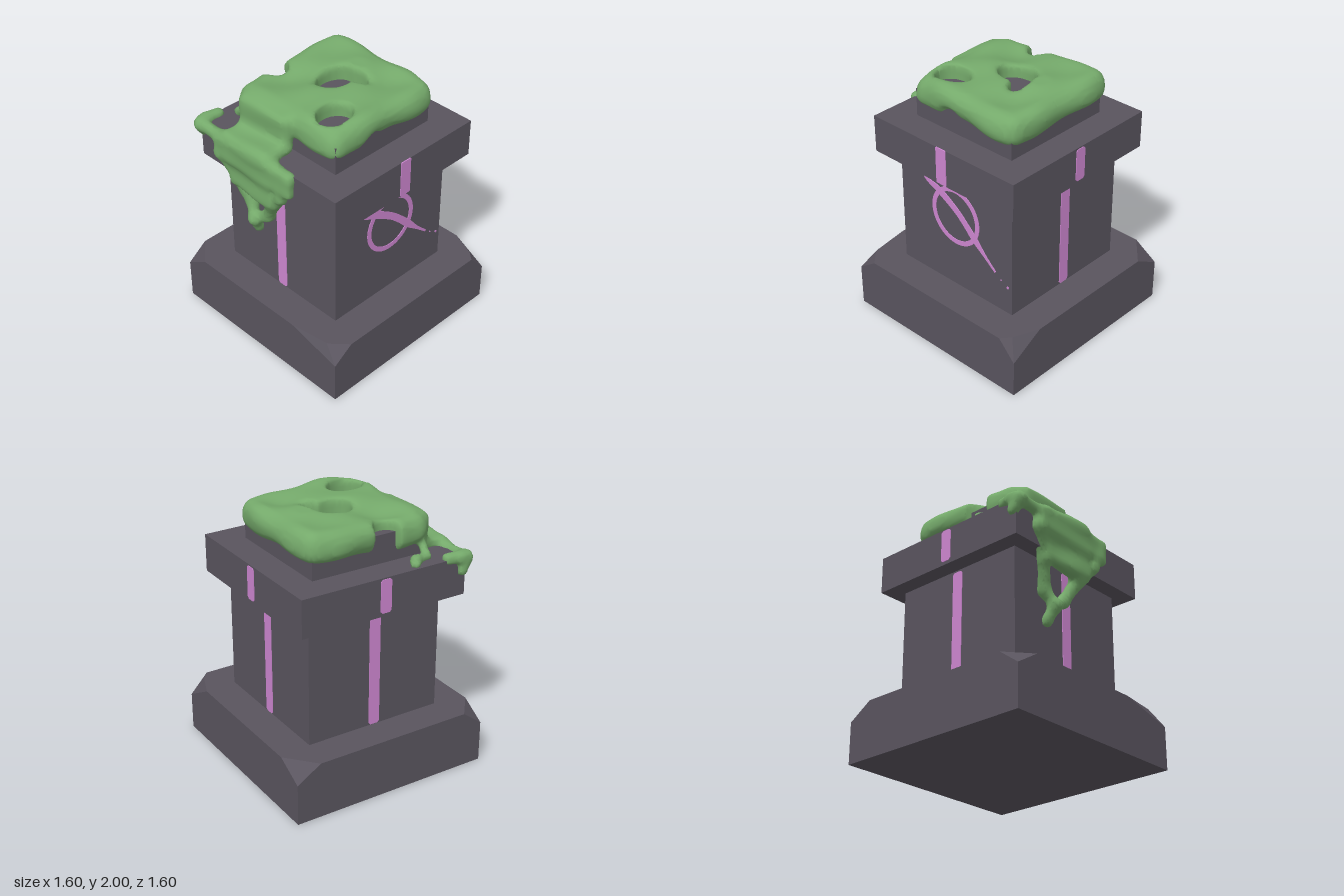
import * as THREE from 'three';
import { ConvexGeometry } from 'three/addons/geometries/ConvexGeometry.js';

const material = (name, color) => {
  const m = new THREE.MeshStandardMaterial({ color });
  m.name = name;
  return m;
};

// ---- distance helpers for the moss ----
const smin = (a, b, k) => {
  const h = Math.max(k - Math.abs(a - b), 0) / k;
  return Math.min(a, b) - h * h * k * 0.25;
};
const roundBox = (p, c, s, r) => {
  const q = p.map((v, i) => Math.abs(v - c[i]) - s[i] + r);
  return Math.hypot(...q.map(v => Math.max(v, 0))) + Math.min(Math.max(...q), 0) - r;
};
const capsule = (p, a, b, r) => {
  const d = b.map((v, i) => v - a[i]), e = p.map((v, i) => v - a[i]);
  const dot = (u, v) => u[0] * v[0] + u[1] * v[1] + u[2] * v[2];
  const t = Math.min(1, Math.max(0, dot(d, e) / dot(d, d)));
  return Math.hypot(...e.map((v, i) => v - d[i] * t)) - r;
};
// distance to an upright elliptical hole
const well = (x, z, cx, cz, rx, rz) => (Math.hypot((x - cx) / rx, (z - cz) / rz) - 1) * Math.min(rx, rz);

// strands of moss: radius, then the points of the path
const strands = [
  [0.045, [-0.69, 1.62, 0.25], [-0.68, 1.42, 0.16], [-0.64, 1.26, 0.02], [-0.59, 1.08, -0.08], [-0.62, 1.0, -0.2]],
  [0.045, [-0.69, 1.5, -0.45], [-0.64, 1.3, -0.35], [-0.585, 1.1, -0.27], [-0.625, 1.0, -0.21], [-0.565, 0.89, -0.23]],
  [0.045, [-0.69, 1.63, -0.4], [-0.69, 1.64, -0.66], [-0.64, 1.65, -0.67], [-0.54, 1.655, -0.65]],
  [0.045, [-0.7, 1.64, -0.66], [-0.65, 1.56, -0.68]],
  [0.032, [-0.46, 1.74, -0.44], [-0.43, 1.67, -0.55], [-0.32, 1.67, -0.58], [-0.28, 1.67, -0.63]],
];
// flat patches: centre, half size, rounding
const patches = [
  [[-0.5, 1.8, -0.18], [0.05, 0.13, 0.24], 0.045],
  [[-0.6, 1.675, -0.18], [0.13, 0.045, 0.24], 0.04],
  [[-0.69, 1.57, -0.1], [0.05, 0.11, 0.39], 0.045],
  [[-0.67, 1.4, -0.14], [0.045, 0.13, 0.24], 0.04],
];

function mossField(x, y, z) {
  const p = [x, y, z];
  const lift = 0.02 * Math.sin(5 * x + 2.2) * Math.sin(4.5 * z + 0.6) + 0.022 * x
    + 0.012 * Math.cos(11 * z) * Math.cos(4 * x);
  const wave = 0.012 * Math.sin(13 * x + 1) * Math.sin(12 * z + 2) + 0.01 * Math.sin(17 * y + 7 * x - 6 * z);
  let d = roundBox([x, y - lift, z], [0.01, 1.863, -0.01], [0.51, 0.115, 0.51], 0.105) + wave;
  for (const [c, s, r] of patches) d = smin(d, roundBox(p, c, s, r) + wave * 0.6, 0.06);
  for (const [r, ...path] of strands)
    for (let i = 1; i < path.length; i++) d = smin(d, capsule(p, path[i - 1], path[i], r) + wave * 0.4, 0.035);
  // holes in the top, a notch at the back and one under the front rim
  const cut = Math.min(
    well(x, z, 0.04, -0.05, 0.155, 0.115), well(x, z, 0.155, 0.05, 0.06, 0.1),
    well(x, z, -0.28, 0.27, 0.14, 0.115), well(x, z, -0.13, -0.5, 0.1, 0.11),
    Math.hypot(x + 0.11, y - 1.75, z - 0.53) - 0.11);
  return -smin(-d, cut, 0.03);
}

// Wraps a smooth mesh around the zero level of a field (surface nets)
function fieldGeometry(field, min, max, step) {
  const n = min.map((v, i) => Math.ceil((max[i] - v) / step) + 1);
  const stride = [1, n[0], n[0] * n[1]];
  const value = new Float32Array(n[0] * n[1] * n[2]);
  const each = (from, fn) => {
    for (let k = from; k < n[2] - 1; k++)
      for (let j = from; j < n[1] - 1; j++)
        for (let i = from; i < n[0] - 1; i++) fn([i, j, k], i + j * stride[1] + k * stride[2]);
  };
  value.fill(1);
  each(0, (g, id) => { value[id] = field(...g.map((v, a) => min[a] + v * step)); });
  const cell = new Map(), points = [], faces = [];
  // one point per crossed cell, at the mean of its edge crossings
  each(0, (g, id) => {
    const sum = [0, 0, 0];
    let count = 0;
    for (let a = 0; a < 3; a++) {
      const b = (a + 1) % 3, c = (a + 2) % 3;
      for (let q = 0; q < 4; q++) {
        const ob = q & 1, oc = q >> 1;
        const start = id + ob * stride[b] + oc * stride[c];
        const v0 = value[start], v1 = value[start + stride[a]];
        if ((v0 < 0) === (v1 < 0)) continue;
        sum[a] += v0 / (v0 - v1);
        sum[b] += ob;
        sum[c] += oc;
        count++;
      }
    }
    if (!count) return;
    cell.set(id, points.length / 3);
    const at = g.map((v, a) => min[a] + (v + sum[a] / count) * step);
    points.push(at[0], Math.min(at[1], 2), at[2]);
  });
  // one quad around each crossed edge
  each(1, (g, id) => {
    for (let a = 0; a < 3; a++) {
      const inside = value[id] < 0;
      if (inside === (value[id + stride[a]] < 0)) continue;
      const b = stride[(a + 1) % 3], c = stride[(a + 2) % 3];
      const q = [id, id - b, id - b - c, id - c].map(v => cell.get(v));
      if (!inside) q.reverse();
      faces.push(q[0], q[1], q[2], q[0], q[2], q[3]);
    }
  });
  const geo = new THREE.BufferGeometry();
  geo.setAttribute('position', new THREE.Float32BufferAttribute(points, 3));
  geo.setIndex(faces);
  geo.computeVertexNormals();
  return geo;
}

export function createModel() {
  const root = new THREE.Group();
  root.name = 'mossyPedestal';
  const stone = material('stone', 0x59545e);
  const glow = material('violetInlay', 0xcd86d0);
  const green = material('moss', 0x75aa6b);
  const add = (name, geo, mat, parent = root) => {
    const mesh = new THREE.Mesh(geo, mat);
    mesh.name = name;
    parent.add(mesh);
    return mesh;
  };
  const V = (x, y, z) => new THREE.Vector3(x, y, z);

  // plinth with unevenly chipped top corners
  const top = 0.44;
  add('plinth', new ConvexGeometry([
    V(-0.8, 0, -0.8), V(0.8, 0, -0.8), V(0.8, 0, 0.8), V(-0.8, 0, 0.8),
    V(-0.64, top, -0.8), V(-0.8, top, -0.61), V(-0.8, 0.32, -0.8),
    V(0.61, top, -0.8), V(0.8, top, -0.58), V(0.8, 0.32, -0.8),
    V(0.8, top, 0.53), V(0.72, top, 0.73), V(0.66, top, 0.8), V(0.8, 0.29, 0.8),
    V(-0.8, top, 0.36), V(-0.755, top, 0.67), V(-0.735, top, 0.7), V(-0.64, top, 0.8), V(-0.8, 0.33, 0.8),
  ]), stone);

  // square stone blocks: name, width, bottom, top
  for (const [name, w, y0, y1] of [
    ['shaft', 1.1, 0.43, 1.37], ['capSlab', 1.355, 1.365, 1.655], ['topBlock', 0.92, 1.65, 1.87],
  ]) add(name, new THREE.BoxGeometry(w, y1 - y0, w).translate(0, (y0 + y1) / 2, 0), stone);

  // thin plate standing on a face at distance z from the centre
  const plate = (name, shape, z, parent) =>
    add(name, new THREE.ExtrudeGeometry(shape, { depth: 0.008, bevelEnabled: false, curveSegments: 40 })
      .translate(0, 0, z - 0.003), glow, parent);
  const stripe = (w, y0, y1, c = 0.015) => new THREE.Shape([
    [-w + c, y0], [w - c, y0], [w, y0 + c], [w, y1 - c], [w - c, y1], [-w + c, y1], [-w, y1 - c], [-w, y0 + c],
  ].map(p => new THREE.Vector2(...p)));

  // inlaid stripes on all four sides; the front shaft carries the ring instead
  ['front', 'right', 'back', 'left'].forEach((side, i) => {
    const face = new THREE.Group();
    face.name = side + 'Inlay';
    face.rotation.y = i * Math.PI / 2;
    root.add(face);
    plate('slabStripe', i ? stripe(0.045, 1.39, 1.645) : stripe(0.048, 1.37, 1.655, 0.004), 0.6775, face);
    if (i) {
      plate('shaftStripe', stripe(0.045, 0.445, 1.35), 0.55, face);
      return;
    }
    const ring = new THREE.Shape().absarc(0, 1.04, 0.235, 0, Math.PI * 2);
    ring.holes.push(new THREE.Path().absarc(0, 1.04, 0.197, 0, Math.PI * 2, true));
    plate('ring', ring, 0.55, face);
    // tapering slash: x, y, half width
    const slash = [[-0.33, 1.285, 0.012], [-0.27, 1.235, 0.018], [-0.16, 1.195, 0.03], [0, 1.1, 0.028],
      [0.1, 1.015, 0.028], [0.19, 0.925, 0.03], [0.29, 0.83, 0.014], [0.39, 0.742, 0.008]];
    const edge = s => slash.map(([x, y, w]) => new THREE.Vector2(x + s * w * 0.6, y + s * w * 0.8));
    const outline = new THREE.Shape();
    const lower = edge(-1), upper = edge(1).reverse();
    outline.moveTo(lower[0].x, lower[0].y).splineThru(lower.slice(1));
    outline.lineTo(upper[0].x, upper[0].y).splineThru(upper.slice(1));
    plate('slash', outline, 0.5505, face);
    for (const [x, y, r] of [[0.445, 0.7, 0.005], [0.51, 0.665, 0.01]])
      plate('fleck', new THREE.Shape().absarc(x, y, r, 0, Math.PI * 2), 0.55, face);
  });

  // moss draped over the top and down the side
  add('moss', fieldGeometry(mossField, [-0.82, 0.78, -0.78], [0.62, 2.06, 0.62], 0.025), green);
  return root;
}
